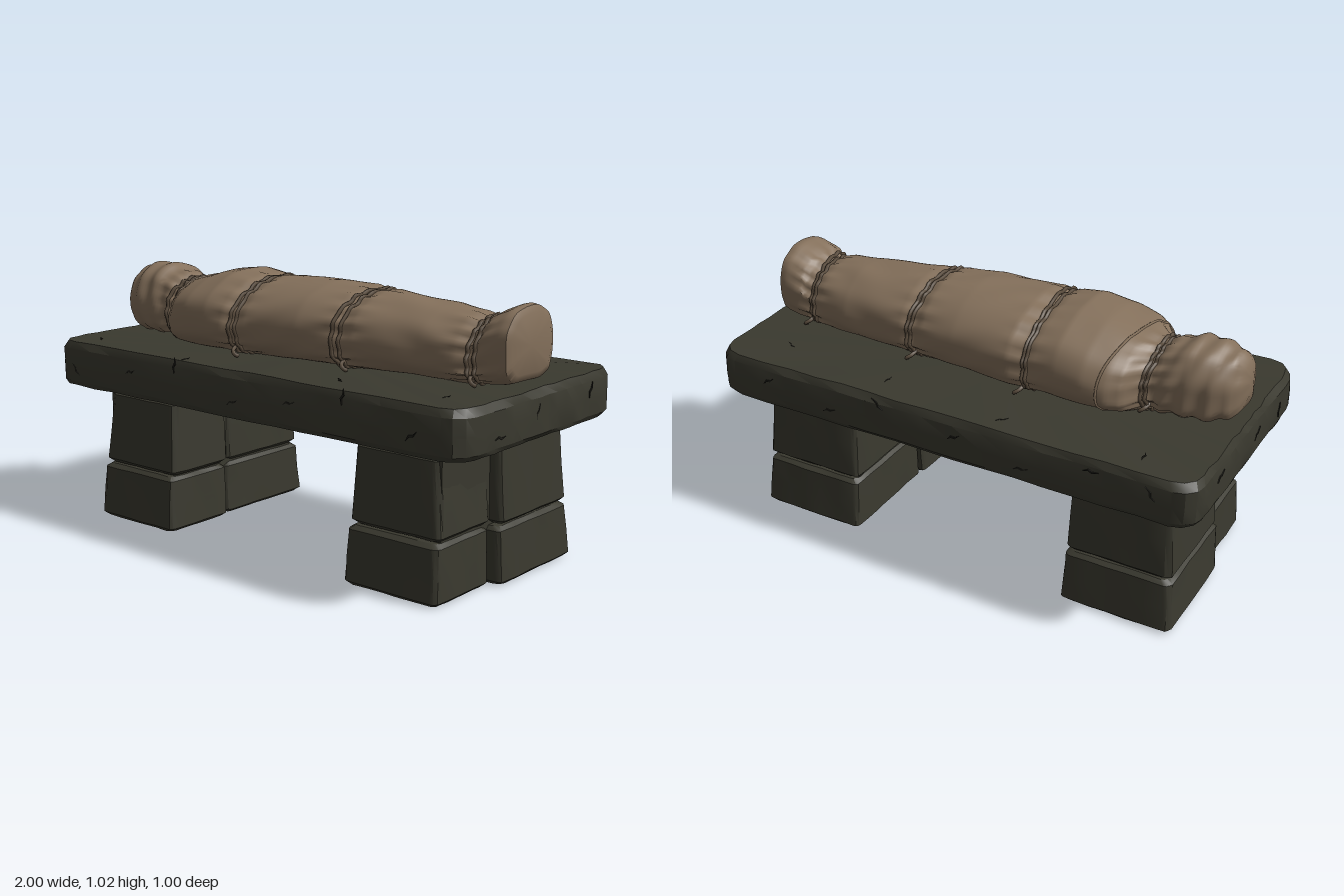
import * as THREE from 'three';
import { toCreasedNormals } from 'three/addons/utils/BufferGeometryUtils.js';

let seed = 7;
const rnd = () => { seed = (seed * 16807) % 2147483647; return seed / 2147483647 - 0.5; };

// Skin a list of equal-length rings and close both ends with fans
function loft(rings, crease) {
  const n = rings[0].length, pos = rings.flat().flatMap(p => [p.x, p.y, p.z]), idx = [];
  for (let i = 0; i < rings.length - 1; i++) {
    for (let j = 0; j < n; j++) {
      const a = i * n + j, b = i * n + (j + 1) % n;
      idx.push(a, b, a + n, b, b + n, a + n);
    }
  }
  [0, rings.length - 1].forEach((r, end) => {
    const c = rings[r].reduce((s, p) => s.add(p), new THREE.Vector3()).divideScalar(n);
    pos.push(c.x, c.y, c.z);
    for (let j = 0; j < n; j++) {
      const a = r * n + j, b = r * n + (j + 1) % n, m = pos.length / 3 - 1;
      if (end) idx.push(a, b, m); else idx.push(b, a, m);
    }
  });
  const geo = new THREE.BufferGeometry();
  geo.setAttribute('position', new THREE.Float32BufferAttribute(pos, 3));
  geo.setIndex(idx);
  return toCreasedNormals(geo, crease);
}

// Rounded rectangle in plan, with slightly chipped edges
function outline(y, x0, x1, z0, z1, r, n, chip) {
  const arcs = [[x1 - r, z0 + r], [x0 + r, z0 + r], [x0 + r, z1 - r], [x1 - r, z1 - r]].map(([cx, cz], k) =>
    [0, 1, 2, 3].map(i => {
      const t = (k + i / 3) * Math.PI / 2;
      return new THREE.Vector3(cx + r * Math.cos(t), y, cz - r * Math.sin(t));
    }));
  const pts = [];
  arcs.forEach((arc, k) => {
    pts.push(...arc);
    for (let i = 1; i <= n; i++) pts.push(arc[3].clone().lerp(arcs[(k + 1) % 4][0], i / (n + 1)));
  });
  pts.forEach(p => { p.x += rnd() * chip; p.z += rnd() * chip; p.y += rnd() * chip * 0.3; });
  return pts;
}

// Shroud profile: x, z min, z max, bottom y, top y
const PROFILE = [
  [-0.972, 0.0, 0.05, 0.82, 0.91], [-0.96, -0.05, 0.1, 0.775, 0.95], [-0.93, -0.095, 0.135, 0.75, 0.98],
  [-0.87, -0.125, 0.16, 0.73, 1.0], [-0.78, -0.14, 0.165, 0.725, 1.005], [-0.7, -0.135, 0.16, 0.725, 0.975],
  [-0.65, -0.12, 0.16, 0.725, 0.95], [-0.62, -0.14, 0.185, 0.725, 0.955], [-0.58, -0.215, 0.255, 0.725, 0.97],
  [-0.53, -0.245, 0.295, 0.725, 0.985], [-0.44, -0.255, 0.312, 0.725, 1.01], [-0.33, -0.25, 0.316, 0.725, 1.027],
  [-0.24, -0.24, 0.31, 0.725, 1.012], [-0.2, -0.232, 0.296, 0.725, 0.995], [-0.14, -0.245, 0.298, 0.725, 1.012],
  [0.1, -0.23, 0.278, 0.725, 1.015], [0.24, -0.213, 0.247, 0.725, 1.005], [0.28, -0.2, 0.236, 0.725, 0.99],
  [0.33, -0.207, 0.237, 0.725, 0.998], [0.6, -0.19, 0.195, 0.725, 0.978], [0.73, -0.168, 0.17, 0.725, 0.962],
  [0.78, -0.15, 0.15, 0.73, 0.945], [0.85, -0.158, 0.155, 0.73, 0.985], [0.9, -0.155, 0.152, 0.735, 1.007],
  [0.928, -0.148, 0.148, 0.745, 1.003], [0.938, -0.12, 0.125, 0.77, 0.98]];
const TIES = [-0.65, -0.2, 0.28, 0.78];

// Point on the wrapped body at length x and angle t (0 = top)
function bodyPoint(x, t, offset = 0, folds = true) {
  let k = 0;
  while (k < PROFILE.length - 2 && PROFILE[k + 1][0] < x) k++;
  const A = PROFILE[k], B = PROFILE[k + 1];
  const f = THREE.MathUtils.clamp((x - A[0]) / (B[0] - A[0]), 0, 1);
  const [, zMin, zMax, base, top] = A.map((v, i) => v + (B[i] - v) * f);
  const c = Math.cos(t), s = Math.sin(t), e = c > 0 ? (x > 0.82 ? 0.75 : 0.95) : 0.6;
  const mid = base + 0.42 * (top - base);
  let w = offset;
  if (folds) {
    w += 0.003 * Math.sin(7 * t + 4 * Math.sin(5 * x)) * Math.sin(9 * x + 2 * t);
    for (const tie of TIES) w += 0.006 * Math.exp(-((x - tie) ** 2) / 0.006) * Math.sin(17 * t + 8 * (x - tie));
    if (x < -0.66) w += 0.004 * Math.sin(75 * x + 3 * Math.cos(t) + 2 * s);
  }
  const ce = Math.sign(c) * Math.abs(c) ** e, se = Math.sign(s) * Math.abs(s) ** e;
  return new THREE.Vector3(x, mid + ((c > 0 ? top - mid : mid - base) + w) * ce,
    (zMin + zMax) / 2 + ((zMax - zMin) / 2 + w) * se);
}

export function createModel() {
  const model = new THREE.Group();
  const material = (name, color) => Object.assign(new THREE.MeshStandardMaterial({ color }), { name });
  const stone = material('dark stone', 0x3a392f);
  const crack = material('stone crack', 0x1f1e19);
  const cloth = material('linen cloth', 0x84705b);
  const rope = material('rope', 0x5a4c3d);
  const add = (name, geo, mat, parent = model) => {
    const mesh = new THREE.Mesh(geo, mat);
    mesh.name = name;
    parent.add(mesh);
    return mesh;
  };

  // Table slab with worn edges
  const slabRing = (y, d, chip) => outline(y, -0.995 + d, 0.995 - d, -0.497 + d, 0.493 - d, 0.085, 14, chip);
  add('slab', loft([slabRing(0.551, 0.014, 0.008), slabRing(0.57, 0.002, 0.006), slabRing(0.635, 0, 0.006),
    slabRing(0.7, 0.002, 0.007), slabRing(0.728, 0.017, 0.01)], 0.45), stone);

  // Two legs of tapering stone blocks around a recessed core
  const block = (y0, y1, b, t) => {
    const ring = (y, d) => {
      const f = (y - y0) / (y1 - y0), v = b.map((p, i) => p + (t[i] - p) * f);
      return outline(y, v[0] + d, v[1] - d, v[2] + d, v[3] - d, 0.025, 4, 0.005);
    };
    return loft([ring(y0, 0.016), ring(y0 + 0.014, 0), ring((y0 + y1) / 2, 0), ring(y1 - 0.014, 0), ring(y1, 0.016)], 0.5);
  };
  for (const side of [-1, 1]) {
    const leg = new THREE.Group();
    leg.name = side > 0 ? 'leftLeg' : 'rightLeg';
    model.add(leg);
    const flip = b => side > 0 ? b : [-b[1], -b[0], b[2], b[3]];
    const course = (name, y0, y1, b, t) => add(name, block(y0, y1, flip(b), flip(t)), stone, leg);
    course('lowerFrontBlock', 0.005, 0.222, [0.435, 0.845, 0.083, 0.41], [0.442, 0.835, 0.083, 0.39]);
    course('lowerBackBlock', 0.005, 0.218, [0.45, 0.89, -0.39, 0.078], [0.455, 0.875, -0.37, 0.078]);
    course('upperFrontBlock', 0.228, 0.52, [0.442, 0.835, 0.07, 0.382], [0.455, 0.81, 0.07, 0.36]);
    course('upperBackBlock', 0.224, 0.52, [0.455, 0.878, -0.365, 0.062], [0.465, 0.86, -0.345, 0.062]);
    course('topCourse', 0.505, 0.56, [0.465, 0.84, -0.345, 0.355], [0.465, 0.84, -0.345, 0.355]);
    const core = add('core', new THREE.BoxGeometry(0.35, 0.52, 0.68), stone, leg);
    core.position.set(side * 0.645, 0.27, 0.01);
  }

  // Thin jagged cracks laid on the stone
  const shard = new THREE.Shape([[0, 0], [0.35, 0.1], [0.6, 0], [1, 0.18], [0.62, 0.12], [0.35, 0.22]]
    .map(p => new THREE.Vector2(...p)));
  const crackGeo = new THREE.ExtrudeGeometry(shard, { depth: 0.004, bevelEnabled: false });
  const addCrack = (x, y, z, rx, ry, angle, size) => {
    const holder = new THREE.Group();
    holder.name = 'crack';
    holder.position.set(x, y, z);
    holder.rotation.set(rx, ry, 0);
    const mesh = add('crackPlate', crackGeo, crack, holder);
    mesh.rotation.z = angle;
    mesh.scale.set(size, size, 1);
    model.add(holder);
  };
  for (const [x, z] of [[-0.75, -0.36], [0.29, -0.34], [0.74, -0.33], [0.82, 0.31], [-0.87, 0.36], [0.4, 0.37], [-0.3, 0.42], [-0.2, -0.43]]) {
    addCrack(x, 0.726, z, -Math.PI / 2, 0, rnd() * 6, 0.05);
  }
  for (let i = 0; i < 7; i++) {
    const x = -0.85 + i * 0.27;
    addCrack(x, 0.6 + (i % 3) * 0.04, 0.491, 0, 0, 1 + rnd() * 3, 0.06);
    addCrack(x, 0.6 + ((i + 1) % 3) * 0.04, -0.495, 0, Math.PI, 1 + rnd() * 3, 0.06);
  }
  for (const side of [-1, 1]) {
    for (const z of [-0.3, 0.05, 0.3]) addCrack(side * 0.993, 0.62 + rnd() * 0.06, z, 0, side * Math.PI / 2, rnd() * 3, 0.06);
  }

  // Wrapped body
  const SEG = 72, STEPS = 170, x0 = -0.972, x1 = 0.938, rings = [];
  for (let i = 0; i <= STEPS; i++) {
    const x = x0 + (x1 - x0) * i / STEPS;
    rings.push(Array.from({ length: SEG }, (_, j) => bodyPoint(x, j / SEG * Math.PI * 2)));
  }
  add('shroudedBody', loft(rings, 0.9), cloth);

  // Cloth hem around the shoulders
  const loop = (x, lean, off) => new THREE.CatmullRomCurve3(Array.from({ length: 40 }, (_, j) => {
    const t = j / 40 * Math.PI * 2;
    return bodyPoint(x + lean * Math.sin(t) + 0.004 * Math.sin(3 * t), t, off);
  }), true);
  add('shoulderHem', new THREE.TubeGeometry(loop(-0.55, -0.045, -0.001), 80, 0.006, 5, true), cloth);

  // Rope bindings with loose ends resting on the slab
  TIES.forEach((x, i) => {
    for (const k of [-1, 1]) {
      add('ropeBinding', new THREE.TubeGeometry(loop(x + k * 0.011, (i % 2 ? 0.012 : -0.015) + k * 0.004, 0.003), 90, 0.0075, 6, true), rope);
      const p = bodyPoint(x, k * 1.95, 0, false);
      const end = [[0, 0.765, -0.012], [0.01, 0.752, 0.014], [0.025, 0.742, 0.022], [0.03, 0.734, 0.008]]
        .map(([dx, y, dz]) => new THREE.Vector3(x + dx, y, p.z + k * dz));
      add('ropeEnd', new THREE.TubeGeometry(new THREE.CatmullRomCurve3(end), 10, 0.008, 6), rope);
    }
  });
  return model;
}
